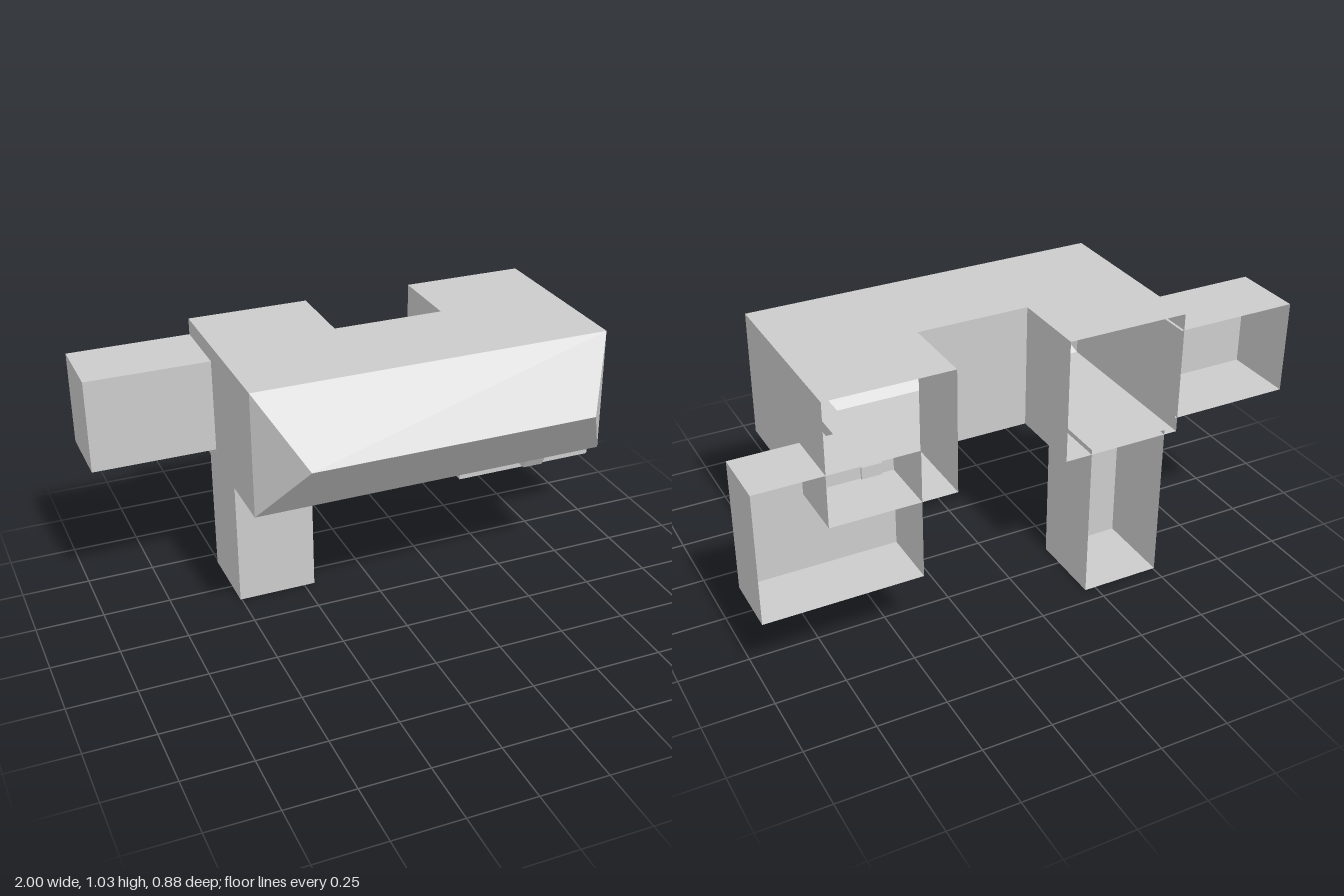
import * as THREE from 'three';

const material = new THREE.MeshStandardMaterial({ color: 0xcccccc, flatShading: true, side: THREE.DoubleSide });

// Flat-faced mesh from a list of convex polygons, corners counter-clockwise from outside
function polyMesh(name, polygons) {
  const pos = [];
  for (const p of polygons) {
    for (let i = 1; i < p.length - 1; i++) pos.push(...p[0], ...p[i], ...p[i + 1]);
  }
  const g = new THREE.BufferGeometry();
  g.setAttribute('position', new THREE.Float32BufferAttribute(pos, 3));
  g.computeVertexNormals();
  const m = new THREE.Mesh(g, material);
  m.name = name;
  return m;
}

// Box between two corners, with its rear (-z) face left open
function openBox(name, [x0, y0, z0], [x1, y1, z1]) {
  const g = new THREE.BoxGeometry(x1 - x0, y1 - y0, z1 - z0);
  g.setIndex(Array.from(g.index.array).slice(0, 30)); // the last face is -z
  g.clearGroups();
  g.translate((x0 + x1) / 2, (y0 + y1) / 2, (z0 + z1) / 2);
  const m = new THREE.Mesh(g, material);
  m.name = name;
  return m;
}

// U-shaped body, open at the rear of both arms, with a hipped front
function body() {
  const y0 = 0.575, y1 = 1.03, back = -0.44, notch = -0.15, front = 0.24;
  const xl = -0.555, xa = -0.11, xb = 0.3, xr = 0.755;
  const faces = [];
  // upright walls
  const walls = [
    [xl, back, xl, front], [xr, front, xr, back],
    [xb, back, xb, notch], [xb, notch, xa, notch], [xa, notch, xa, back],
  ];
  for (const [ax, az, bx, bz] of walls) {
    faces.push([[ax, y0, az], [bx, y0, bz], [bx, y1, bz], [ax, y1, az]]);
  }
  // roof and floor: middle slab and two arms
  for (const [a, b, za, zb] of [[xl, xr, notch, front], [xl, xa, back, notch], [xb, xr, back, notch]]) {
    const ring = (y) => [[a, y, zb], [b, y, zb], [b, y, za], [a, y, za]];
    faces.push(ring(y1), ring(y0).reverse());
  }
  // hipped front
  const A = [xl, y0, front], B = [xr, y0, front], C = [xr, y1, front], D = [xl, y1, front];
  const R0 = [-0.42, 0.81, 0.435], R1 = [0.615, 0.81, 0.435];
  faces.push([A, B, R1, R0], [B, C, R1], [C, D, R0, R1], [D, A, R0]);
  return polyMesh('body', faces);
}

// Slim bar under the body with a slanted front end
function underBar() {
  const x0 = 0.475, x1 = 0.55;
  const profile = [[0.53, -0.225], [0.53, 0.202], [0.62, 0.252], [0.62, -0.225]]; // y, z
  const side = (x) => profile.map(([y, z]) => [x, y, z]);
  const L = side(x0), R = side(x1);
  const faces = [L, [...R].reverse()];
  for (let i = 0; i < 4; i++) {
    const j = (i + 1) % 4;
    faces.push([L[i], R[i], R[j], L[j]]);
  }
  // wind every face outward from the bar's middle
  const mid = new THREE.Vector3((x0 + x1) / 2, 0.575, 0);
  for (const f of faces) {
    const [a, b, c] = f.map((p) => new THREE.Vector3(...p));
    const n = b.clone().sub(a).cross(c.clone().sub(a));
    if (n.dot(a.clone().sub(mid)) < 0) f.reverse();
  }
  return polyMesh('underBar', faces);
}

export function createModel() {
  const group = new THREE.Group();
  group.name = 'model';
  group.add(
    body(),
    openBox('rightArm', [-1, 0.63, -0.44], [-0.545, 0.97, -0.18]),
    openBox('leftBlock', [0.43, 0.28, -0.44], [1, 0.77, -0.217]),
    openBox('leg', [-0.505, 0, -0.44], [-0.21, 0.593, -0.15]),
    underBar(),
  );
  return group;
}
